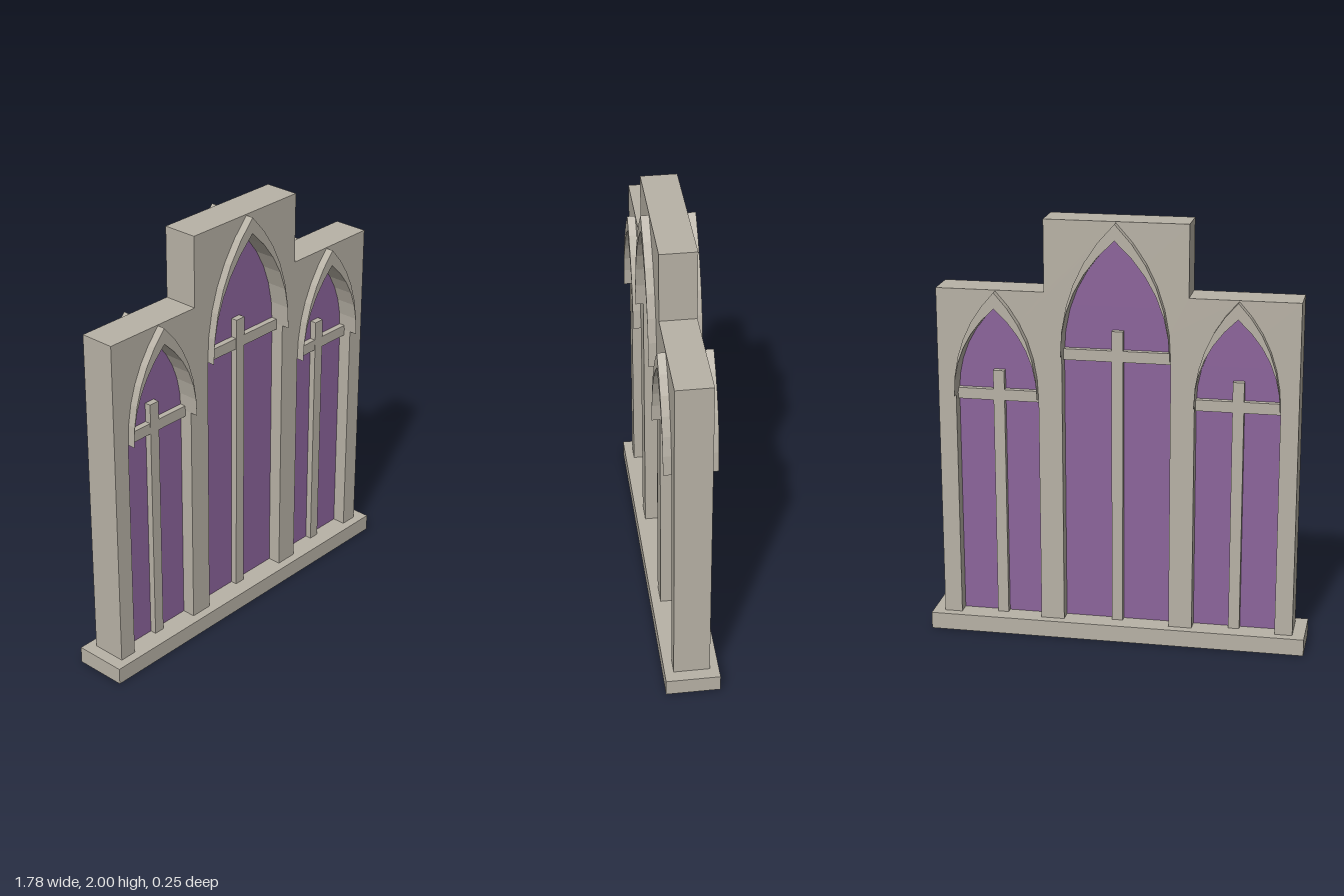
import * as THREE from 'three';

const BASE_TOP = 0.08;
const ARCH_STEPS = 6;

// Three lancet windows: centre x, half width, spring height, apex height
const WINDOWS = [
  { name: 'right', x: -0.555, w: 0.195, spring: 1.165, apex: 1.663 },
  { name: 'centre', x: 0, w: 0.25, spring: 1.375, apex: 1.995 },
  { name: 'left', x: 0.555, w: 0.195, spring: 1.165, apex: 1.663 },
];

// Points of a pointed arch, from the right spring over the apex to the left spring
function archPoints({ x, w, spring, apex }, drop = 0) {
  const rise = apex - drop - spring;
  const half = new THREE.QuadraticBezierCurve(
    new THREE.Vector2(w, spring),
    new THREE.Vector2(w, spring + rise * 0.6),
    new THREE.Vector2(0, spring + rise)
  ).getPoints(ARCH_STEPS);
  const mirrored = half.slice(0, -1).reverse().map((p) => new THREE.Vector2(-p.x, p.y));
  return [...half, ...mirrored].map((p) => new THREE.Vector2(p.x + x, p.y));
}

// Arch with straight jambs down to the sill
function lancetPoints(win, drop = 0) {
  return [
    new THREE.Vector2(win.x - win.w, BASE_TOP),
    new THREE.Vector2(win.x + win.w, BASE_TOP),
    ...archPoints(win, drop),
  ];
}

// Extrusion centred on z = 0
function slab(shape, depth) {
  const geometry = new THREE.ExtrudeGeometry(shape, { depth, bevelEnabled: false });
  return geometry.translate(0, 0, -depth / 2);
}

export function createModel() {
  const model = new THREE.Group();
  model.name = 'tripleLancetWindow';
  const stone = new THREE.MeshStandardMaterial({ color: 0xb8b2a6 });
  stone.name = 'stone';
  const glass = new THREE.MeshStandardMaterial({ color: 0x8c649b });
  glass.name = 'purpleGlass';

  const add = (parent, name, geometry, material) => {
    const mesh = new THREE.Mesh(geometry, material);
    mesh.name = name;
    parent.add(mesh);
    return mesh;
  };
  const box = (parent, name, w, h, d, x, y) =>
    add(parent, name, new THREE.BoxGeometry(w, h, d).translate(x, y, 0), stone);

  // Base plinth
  box(model, 'plinth', 1.78, BASE_TOP, 0.25, 0, BASE_TOP / 2);

  // Stepped wall with three openings
  const wall = new THREE.Shape([
    [-0.833, 0.04], [0.833, 0.04], [0.833, 1.667], [0.33, 1.667],
    [0.33, 2], [-0.33, 2], [-0.33, 1.667], [-0.833, 1.667],
  ].map(([x, y]) => new THREE.Vector2(x, y)));
  WINDOWS.forEach((win) => wall.holes.push(new THREE.Path(lancetPoints(win))));
  add(model, 'wall', slab(wall, 0.166), stone);

  for (const win of WINDOWS) {
    const group = new THREE.Group();
    group.name = win.name + 'Window';
    model.add(group);

    // Glass pane
    add(group, 'glassPane', slab(new THREE.Shape(lancetPoints(win, 0.03)), 0.04), glass);

    // Crescent hood moulding, proud of the wall on both faces
    const inner = archPoints(win, 0.075).slice(1, -1).reverse();
    add(group, 'archMoulding', slab(new THREE.Shape([...archPoints(win), ...inner]), 0.24), stone);

    // Mullion and transom
    const top = win.spring + 0.115;
    box(group, 'mullion', 0.052, top - BASE_TOP, 0.1, win.x, (top + BASE_TOP) / 2);
    box(group, 'transom', win.w * 2, 0.052, 0.096, win.x, win.spring - 0.002);
  }
  return model;
}
